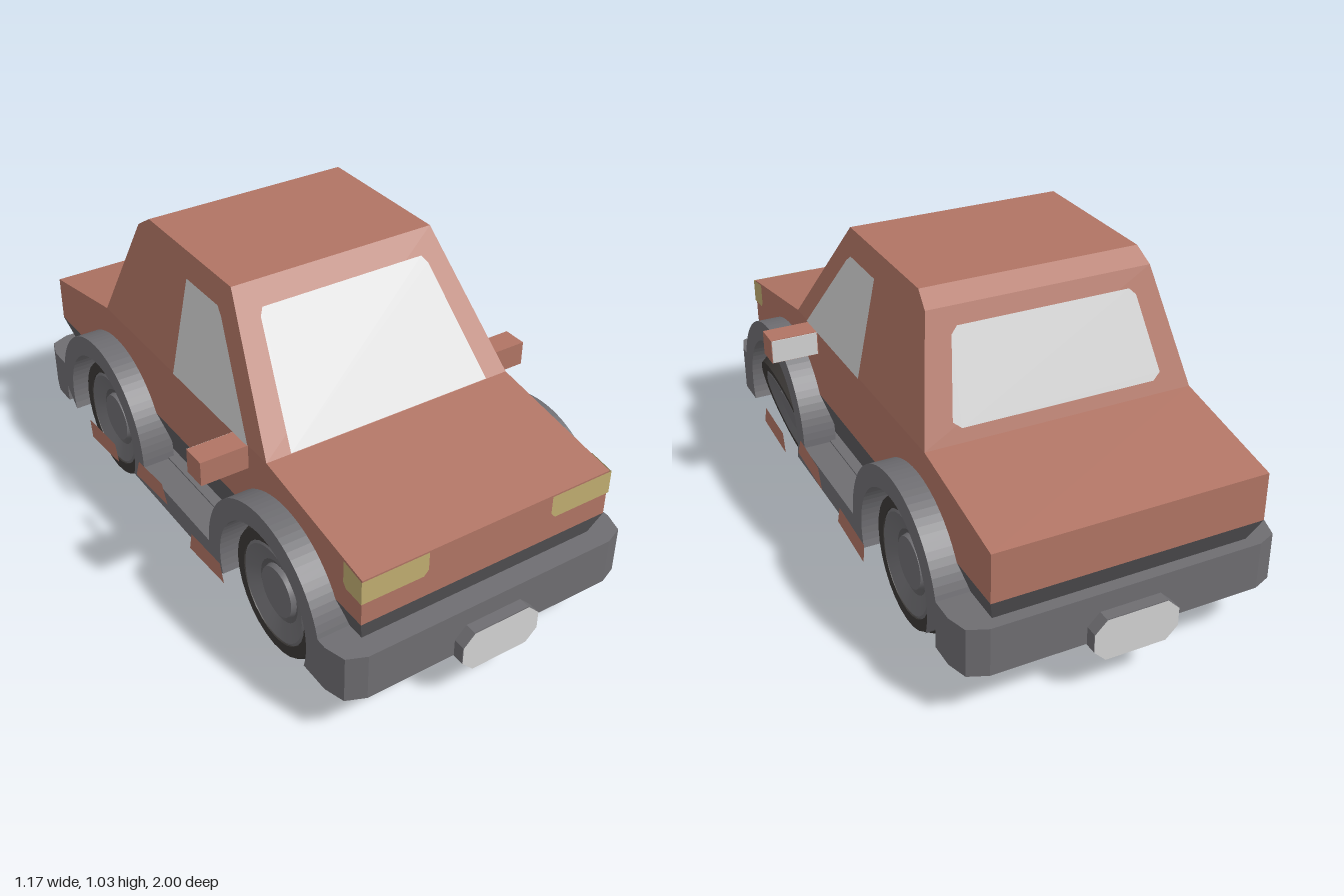
import * as THREE from 'three';
import { toCreasedNormals } from 'three/addons/utils/BufferGeometryUtils.js';

const material = (name, color, side = THREE.FrontSide) => {
  const m = new THREE.MeshStandardMaterial({ color, side });
  m.name = name;
  return m;
};

export function createModel() {
  const car = new THREE.Group();
  car.name = 'car';
  const paint = material('copperPaint', 0xb07464, THREE.DoubleSide);
  const trim = material('greyTrim', 0x6e6d71);
  const skirtGrey = material('darkGreySkirt', 0x5c5b5e);
  const glass = material('paleGlass', 0xd2d2d2, THREE.DoubleSide);
  const lamp = material('lampYellow', 0xbfac70, THREE.DoubleSide);
  const rubber = material('tyreRubber', 0x3b3836);

  const add = (name, geometry, mat, parent = car) => {
    const mesh = new THREE.Mesh(geometry, mat);
    mesh.name = name;
    parent.add(mesh);
    return mesh;
  };
  const shapeOf = pts => new THREE.Shape(pts.map(p => new THREE.Vector2(...p)));

  // Side profile in (z, y), extruded across x from x0 to x1
  const across = (shape, x0, x1) =>
    new THREE.ExtrudeGeometry(shape, { depth: x1 - x0, bevelEnabled: false, curveSegments: 20 })
      .rotateY(-Math.PI / 2).translate(x1, 0, 0);

  // Full-width profile whose half width varies with height
  const tapered = (pts, halfWidth) => {
    const g = across(shapeOf(pts), -1, 1);
    const p = g.attributes.position;
    for (let i = 0; i < p.count; i++) p.setX(i, p.getX(i) * halfWidth(p.getY(i)));
    g.computeVertexNormals();
    return g;
  };

  // Flat convex panel
  const panel = (name, mat, pts) => {
    const index = [];
    for (let i = 1; i < pts.length - 1; i++) index.push(0, i, i + 1);
    const g = new THREE.BufferGeometry();
    g.setAttribute('position', new THREE.Float32BufferAttribute(pts.flat(), 3));
    g.setIndex(index);
    g.computeVertexNormals();
    return add(name, g, mat);
  };

  // Painted body, cabin and dark skirt
  const cabinHalf = y => 0.43 - (y - 0.63) * 0.205;
  add('body', tapered([[0.92, 0.395], [0.92, 0.55], [0.45, 0.63], [-0.56, 0.63], [-0.96, 0.55], [-0.96, 0.395]],
    () => 0.43), paint);
  add('cabin', tapered([[0.45, 0.63], [0.14, 1.02], [-0.36, 1.02], [-0.42, 0.98], [-0.56, 0.63]], cabinHalf), paint);
  add('skirt', tapered([[0.92, 0.395], [0.85, 0.2], [-0.865, 0.2], [-0.96, 0.395]],
    y => 0.43 - (0.395 - y) * 0.3), skirtGrey);

  // Windscreen and rear window, lying just off the sloped cabin faces
  const screenZ = y => 0.45 - (y - 0.63) * 0.795 + 0.006;
  panel('windscreen', glass, [[-0.35, 0.634], [0.35, 0.634], [0.295, 0.94], [0.28, 0.96], [-0.28, 0.96], [-0.295, 0.94]]
    .map(([x, y]) => [x, y, screenZ(y)]));
  const rearZ = y => -0.56 + (y - 0.63) * 0.4 - 0.005;
  panel('rearWindow', glass, [[0.31, 0.67], [0.335, 0.69], [0.295, 0.91], [0.275, 0.93],
    [-0.275, 0.93], [-0.295, 0.91], [-0.335, 0.69], [-0.31, 0.67]].map(([x, y]) => [x, y, rearZ(y)]));

  // Chassis floor
  add('floor', new THREE.BoxGeometry(0.84, 0.08, 1.72).translate(0, 0.2, 0), trim);

  // Sill and wheel arches in one side profile
  const wheelY = 0.235, frontZ = 0.54, rearWheelZ = -0.5;
  const outer = 0.305, inner = 0.237, base = 0.16;
  const dip = Math.asin((wheelY - base) / inner);
  const arches = new THREE.Shape();
  arches.moveTo(rearWheelZ - outer, base);
  arches.absarc(rearWheelZ, wheelY, outer, Math.PI, 0, true);
  arches.absarc(frontZ, wheelY, outer, Math.PI, 0, true);
  arches.lineTo(frontZ + outer, base);
  arches.absarc(frontZ, wheelY, inner, -dip, Math.PI + dip, false);
  arches.absarc(rearWheelZ, wheelY, inner, -dip, Math.PI + dip, false);
  arches.closePath();

  // Wheel lathe profiles: (radius, distance along axle)
  const spin = pts => toCreasedNormals(
    new THREE.LatheGeometry(pts.map(p => new THREE.Vector2(...p)), 28).rotateZ(-Math.PI / 2), 0.4);
  const tyre = spin([[0, -0.135], [0.2, -0.135], [0.235, -0.06], [0.235, 0.06], [0.2, 0.135], [0.165, 0.135], [0.16, 0.11]]);
  const rim = spin([[0.168, 0.128], [0.155, 0.136], [0.1, 0.115]]);
  const hubRing = spin([[0.1, 0.115], [0.085, 0.108]]);
  const hub = spin([[0.085, 0.108], [0.08, 0.124], [0, 0.124]]);

  for (const s of [1, -1]) {
    const side = s > 0 ? 'left' : 'right';
    add(side + 'SillAndArches', s > 0 ? across(arches, 0.4, 0.51) : across(arches, -0.51, -0.4), trim);

    // Side window
    panel(side + 'Window', glass, [[0.355, 0.632], [0.12, 0.925], [0.095, 0.945], [-0.09, 0.945], [-0.09, 0.632]]
      .map(([z, y]) => [s * (cabinHalf(y) + 0.005), y, z]));

    // Headlight front and wrapped side
    panel(side + 'Headlight', lamp, [[0.434, 0.472], [0.434, 0.549], [0.215, 0.549], [0.215, 0.49], [0.23, 0.472]]
      .map(([x, y]) => [s * x, y, 0.924]));
    panel(side + 'HeadlightSide', lamp, [[0.924, 0.472], [0.924, 0.549], [0.84, 0.562], [0.84, 0.49], [0.853, 0.475]]
      .map(([z, y]) => [s * 0.434, y, z]));

    // Door mirror
    add(side + 'Mirror', new THREE.BoxGeometry(0.165, 0.08, 0.08).translate(s * 0.5025, 0.59, 0.31), paint);
    add(side + 'MirrorGlass', new THREE.BoxGeometry(0.15, 0.076, 0.004).translate(s * 0.508, 0.59, 0.269), glass);

    // Loose flat strips beside the sill
    [[[0.44, 0.25], [0.42, 0.31], [0.25, 0.3], [0.235, 0.235]],
      [[0.1, 0.31], [0.07, 0.37], [-0.085, 0.355], [-0.11, 0.29]],
      [[-0.24, 0.255], [-0.26, 0.315], [-0.45, 0.3], [-0.44, 0.235]]]
      .forEach((pts, i) => panel(side + 'SideStrip' + (i + 1), paint, pts.map(([z, y]) => [s * 0.575, y, z])));

    // Wheels; the front left one leans inward at the bottom
    for (const z of [frontZ, rearWheelZ]) {
      const wheel = new THREE.Group();
      wheel.name = (z > 0 ? 'front' : 'rear') + (s > 0 ? 'Left' : 'Right') + 'Wheel';
      add('tyre', tyre, rubber, wheel);
      add('rim', rim, trim, wheel);
      add('hubRing', hubRing, skirtGrey, wheel);
      add('hub', hub, trim, wheel);
      wheel.position.set(s * 0.335, wheelY, z);
      if (s < 0) wheel.rotation.y = Math.PI;
      if (s > 0 && z > 0) wheel.rotation.z = -0.26;
      car.add(wheel);
    }
  }

  // Bumpers with clipped corners, and clipped plates (s = 1 front, -1 rear)
  const half = [[0.51, 0.82], [0.51, 0.87], [0.49, 0.935], [0.43, 0.96]];
  const plateOutline = shapeOf([[-0.135, 0.158], [-0.097, 0.12], [0.097, 0.12], [0.135, 0.158],
    [0.135, 0.217], [0.097, 0.255], [-0.097, 0.255], [-0.135, 0.217]]);
  for (const s of [1, -1]) {
    const end = s > 0 ? 'front' : 'rear';
    const inset = s > 0 ? 0 : 0.03;
    const plan = [...half, ...half.map(([x, z]) => [-x, z]).reverse()]
      .map(([x, z]) => [x, s * (z === 0.82 ? z - inset : z)]);
    add(end + 'Bumper', new THREE.ExtrudeGeometry(shapeOf(plan), { depth: 0.155, bevelEnabled: false })
      .rotateX(Math.PI / 2).translate(0, 0.315, 0), trim);
    const block = add(end + 'PlateHolder',
      new THREE.ExtrudeGeometry(plateOutline, { depth: 0.047, bevelEnabled: false }).translate(0, 0, 0.95), trim);
    const face = add(end + 'Plate', new THREE.ShapeGeometry(plateOutline).translate(0, 0, 1), glass);
    if (s < 0) block.rotation.y = face.rotation.y = Math.PI;
  }
  return car;
}
